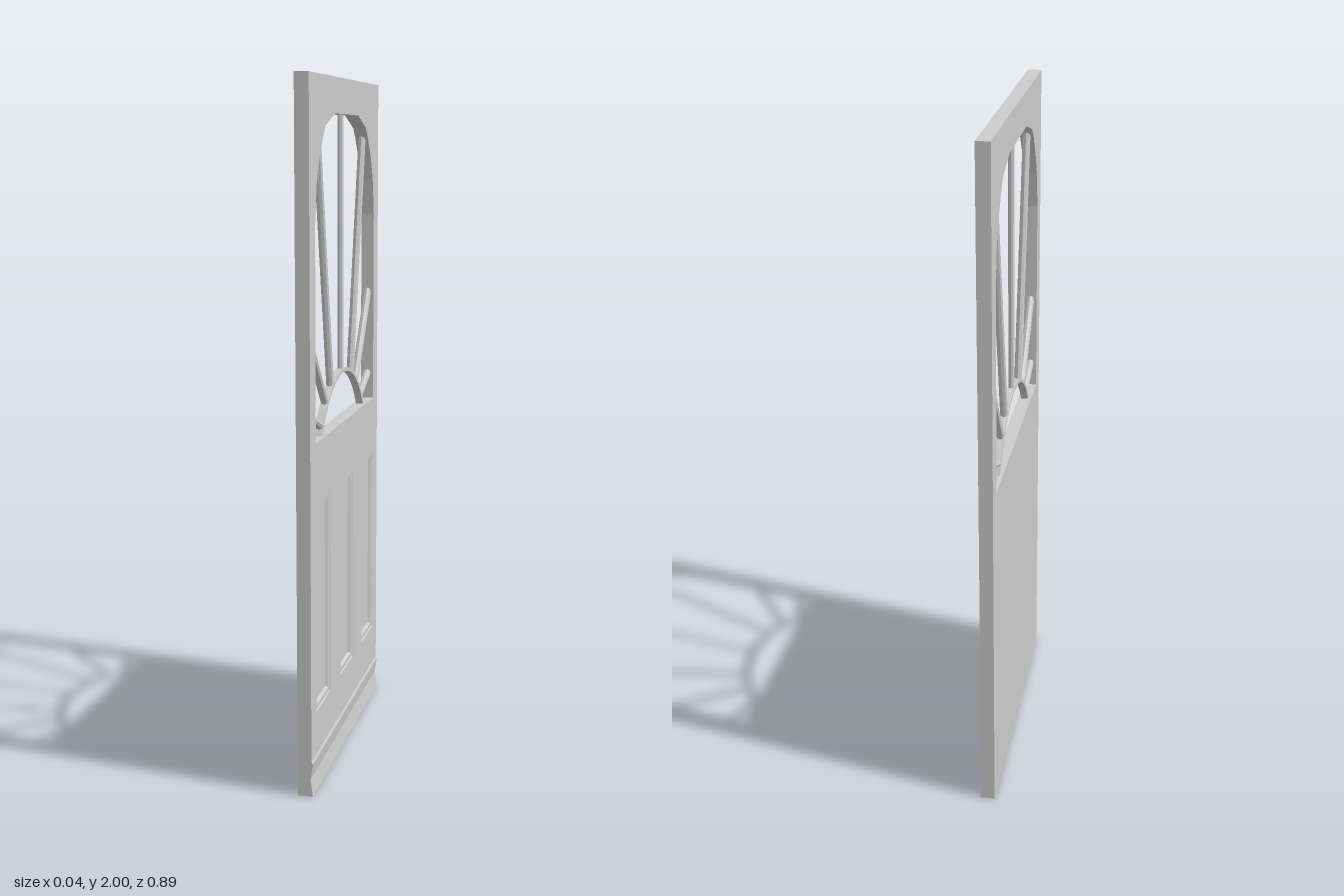
import * as THREE from 'three';

const W = 0.447, H = 2;                        // half width and height of the door
const BACK = -0.022, MID = 0.006, FACE = 0.018; // depths: back, panel floor, front face
const material = new THREE.MeshStandardMaterial({ color: 0xcccccc, flatShading: true });

const shapeOf = pts => new THREE.Shape(pts.map(([x, y]) => new THREE.Vector2(x, y)));
const rect = (x0, y0, x1, y1) => [[x0, y0], [x1, y0], [x1, y1], [x0, y1]];

// Extrude a shape between two depths
function slab(shape, z0, z1, curveSegments = 24) {
  const g = new THREE.ExtrudeGeometry(shape, { depth: z1 - z0, bevelEnabled: false, curveSegments });
  return g.translate(0, 0, z0);
}

// Recessed rectangle: mitred rings given as [inset, depth], closed by a flat floor
function recess(x0, y0, x1, y1, steps) {
  const rings = steps.map(([d, z]) =>
    rect(x0 + d, y0 + d, x1 - d, y1 - d).map(([x, y]) => [x, y, z]));
  const pos = [];
  const quad = (a, b, c, d) => pos.push(...a, ...b, ...c, ...a, ...c, ...d);
  for (let r = 0; r < rings.length - 1; r++) {
    for (let i = 0; i < 4; i++) {
      const j = (i + 1) % 4;
      quad(rings[r][i], rings[r][j], rings[r + 1][j], rings[r + 1][i]);
    }
  }
  quad(...rings[rings.length - 1]);
  const g = new THREE.BufferGeometry();
  g.setAttribute('position', new THREE.Float32BufferAttribute(pos, 3));
  g.computeVertexNormals();
  return g;
}

export function createModel() {
  const group = new THREE.Group();
  group.name = 'door';
  // The door is drawn in the xy plane, then turned so its panelled face looks along +x
  const leaf = new THREE.Group();
  leaf.name = 'doorLeaf';
  leaf.rotation.y = Math.PI / 2;
  group.add(leaf);
  const add = (name, geometry) => {
    const mesh = new THREE.Mesh(geometry, material);
    mesh.name = name;
    leaf.add(mesh);
    return mesh;
  };

  // Window opening with a faceted arched top
  const half = [[0.384, 1.007], [0.384, 1.6], [0.365, 1.71], [0.335, 1.775],
    [0.295, 1.83], [0.262, 1.865], [0.15, 1.9]];
  const opening = [...half, ...half.map(([x, y]) => [-x, y]).reverse()];

  // Back layer, plain behind the panels
  const back = shapeOf(rect(-W, 0, W, H));
  back.holes.push(shapeOf(opening));
  add('backLayer', slab(back, BACK, MID));

  // Front layer, pierced by the three panels
  const panels = [-0.3, 0, 0.3].map(x => [x - 0.084, 0.23, x + 0.084, 0.834]);
  const front = shapeOf(rect(-W, 0.105, W, H));
  front.holes.push(shapeOf(opening), ...panels.map(p => shapeOf(rect(...p))));
  add('frontLayer', slab(front, MID, FACE));

  // Panel mouldings and floors
  for (const p of panels) {
    add('panel', recess(...p, [[0, FACE], [0.003, 0.015], [0.016, 0.015],
      [0.022, MID + 0.001], [0.026, MID + 0.001]]));
  }

  // Weather bar along the bottom edge: profile in (depth, height), run across the door
  const profile = shapeOf([[MID, 0], [0.022, 0], [0.015, 0.05], [0.022, 0.097],
    [FACE, 0.105], [MID, 0.105]]);
  add('weatherBar', slab(profile, -W, W).rotateY(-Math.PI / 2));

  // Sun arch at the foot of the window
  const R = 0.333, cy = 0.827, thick = 0.011;
  const a = Math.asin((1.0 - cy) / R);
  const arch = new THREE.Shape();
  arch.absarc(0, cy, R, a, Math.PI - a, false);
  arch.absarc(0, cy, R - thick, Math.PI - a, a, true);
  add('sunArch', slab(arch, -0.013, 0.009, 20));

  // Rays from the arch to the frame: [x0, y0, x1, y1, radius]
  const rays = [
    [0, 1.152, 0, 1.91, 0.009],
    [-0.131, 1.128, -0.288, 1.86, 0.0115],
    [0.133, 1.128, 0.3, 1.85, 0.0115],
    [-0.196, 1.088, -0.395, 1.305, 0.0115],
    [0.196, 1.088, 0.395, 1.362, 0.0115],
    [-0.25, 1.03, -0.395, 1.086, 0.0115],
    [0.25, 1.03, 0.395, 1.093, 0.0115],
  ];
  const up = new THREE.Vector3(0, 1, 0);
  for (const [x0, y0, x1, y1, r] of rays) {
    const dir = new THREE.Vector3(x1 - x0, y1 - y0, 0);
    const ray = add('ray', new THREE.CylinderGeometry(r, r, dir.length(), 8));
    ray.position.set((x0 + x1) / 2, (y0 + y1) / 2, -0.002);
    ray.quaternion.setFromUnitVectors(up, dir.normalize());
  }
  return group;
}
